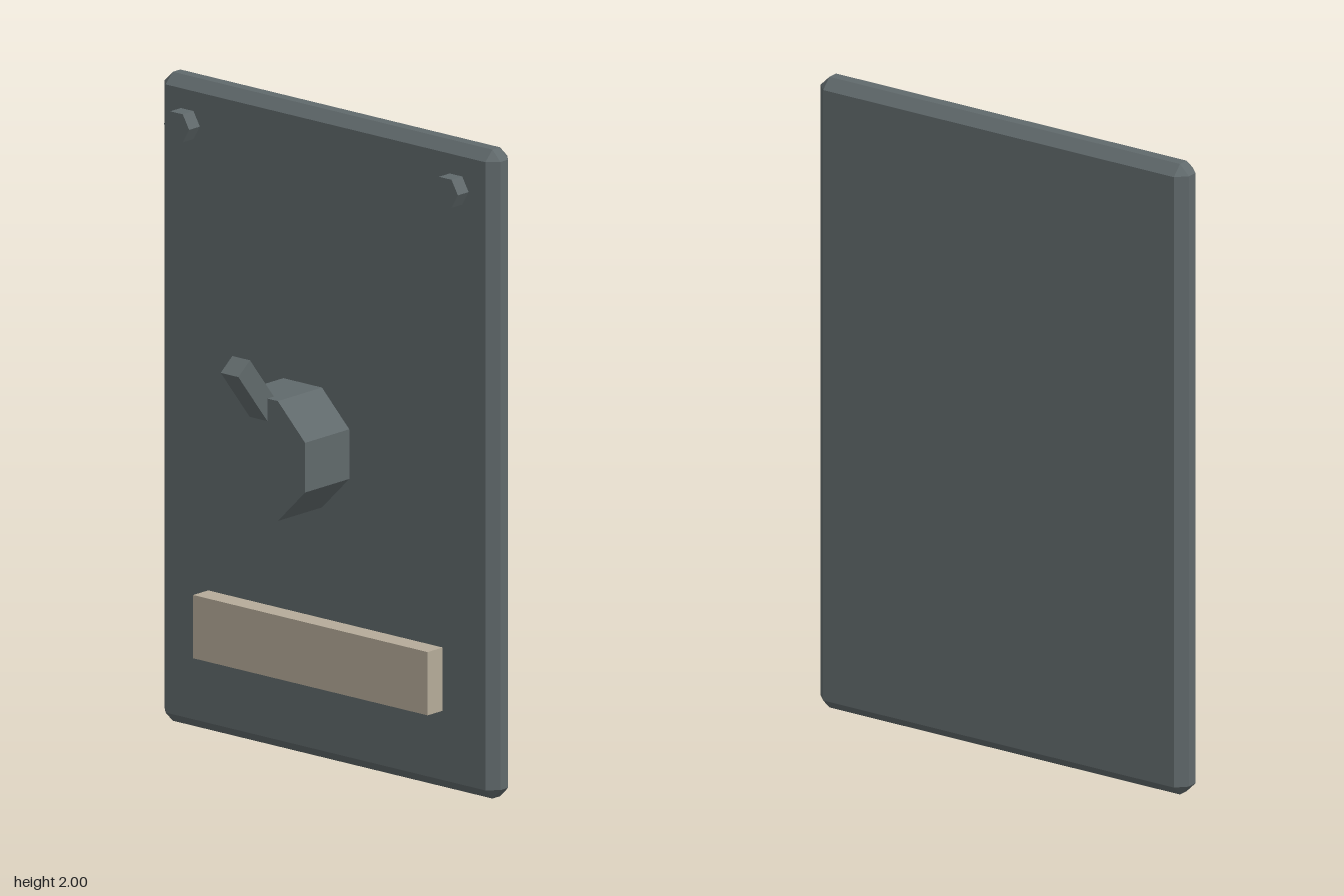
import * as THREE from 'three';
import { ConvexGeometry } from 'three/addons/geometries/ConvexGeometry.js';

// Box with every edge and corner cut flat
function chamferedBox(w, h, d, c) {
  const pts = [];
  for (const x of [-1, 1]) for (const y of [-1, 1]) for (const z of [-1, 1]) {
    for (let axis = 0; axis < 3; axis++) {
      const half = [w / 2, h / 2, d / 2].map((v, i) => (i === axis ? v : v - c));
      pts.push(new THREE.Vector3(x * half[0], y * half[1], z * half[2]));
    }
  }
  return new ConvexGeometry(pts);
}

// Prism lying along z; spin turns its first corner
function prism(radius, depth, sides, spin) {
  return new THREE.CylinderGeometry(radius, radius, depth, sides, 1, false, spin).rotateX(Math.PI / 2);
}

export function createModel() {
  const group = new THREE.Group();
  const steel = new THREE.MeshStandardMaterial({ color: 0x60696b });
  const tan = new THREE.MeshStandardMaterial({ color: 0xb5ab99 });
  steel.name = 'grey steel';
  tan.name = 'tan label';
  steel.flatShading = true;
  tan.flatShading = true;

  const add = (name, geometry, material, x, y, z) => {
    const mesh = new THREE.Mesh(geometry, material);
    mesh.name = name;
    mesh.position.set(x, y, z);
    group.add(mesh);
    return mesh;
  };

  // Back plate
  add('plate', chamferedBox(1.332, 2, 0.098, 0.032), steel, 0, 1, -0.214);

  // Blank label strip
  add('labelStrip', new THREE.BoxGeometry(0.93, 0.195, 0.09), tan, 0, 0.343, -0.143);

  // Octagonal dial with its flat side up
  add('dial', prism(0.2, 0.197, 8, Math.PI / 8), steel, 0, 1.005, 0.035);

  // Lever leaning forward out of the dial
  const lever = add('lever', new THREE.BoxGeometry(0.07, 0.27, 0.066), steel, 0, 1.198, 0.153);
  lever.rotation.x = 0.67;

  // Hexagonal bolts in the upper corners
  for (const side of [-1, 1]) {
    add(side > 0 ? 'leftBolt' : 'rightBolt', prism(0.05, 0.048, 6, Math.PI / 6), steel, side * 0.533, 1.87, -0.124);
  }

  return group;
}
